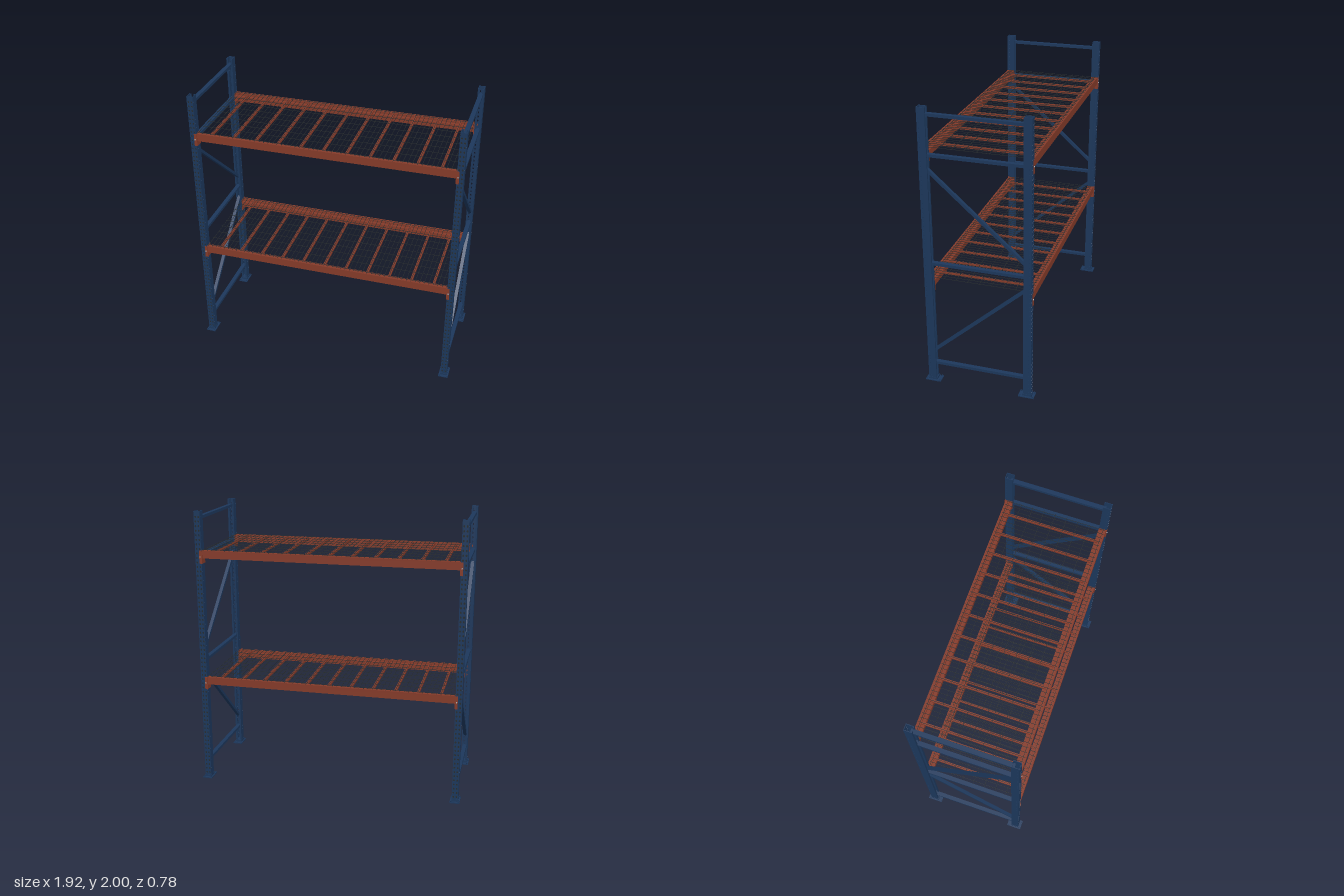
import * as THREE from 'three';
import { mergeGeometries } from 'three/addons/utils/BufferGeometryUtils.js';

const blue = new THREE.MeshStandardMaterial({ color: 0x1c375b });
blue.name = 'navy paint';
const rust = new THREE.MeshStandardMaterial({ color: 0x843a29 });
rust.name = 'rust orange paint';
const dark = new THREE.MeshStandardMaterial({ color: 0x262b2d });
dark.name = 'dark wire';
const steel = new THREE.MeshStandardMaterial({ color: 0xa8adb2 });
steel.name = 'bolt steel';

const POST_X = 0.925, POST_Z = 0.343, POST_W = 0.045, POST_D = 0.055, HEIGHT = 2;
const SHELF_TOPS = [0.794, 1.725];
const WALL = 0.004;

const box = (w, h, d, x = 0, y = 0, z = 0) => new THREE.BoxGeometry(w, h, d).translate(x, y, z);

function add(parent, name, geometry, material) {
  const mesh = new THREE.Mesh(geometry, material);
  mesh.name = name;
  parent.add(mesh);
  return mesh;
}

// Upright sheet with columns of six-sided holes, standing on y = 0
function perforatedSheet(width, columns, radius) {
  const shape = new THREE.Shape([
    new THREE.Vector2(-width / 2, 0.005), new THREE.Vector2(width / 2, 0.005),
    new THREE.Vector2(width / 2, HEIGHT), new THREE.Vector2(-width / 2, HEIGHT),
  ]);
  for (let y = 0.04; y < HEIGHT - 0.02; y += 0.032) {
    for (const cx of columns) {
      const points = [];
      for (let i = 0; i < 6; i++) {
        const a = -i * Math.PI / 3 + Math.PI / 6;
        points.push(new THREE.Vector2(cx + radius * Math.cos(a), y + radius * 1.4 * Math.sin(a)));
      }
      shape.holes.push(new THREE.Path(points));
    }
  }
  return new THREE.ExtrudeGeometry(shape, { depth: WALL, bevelEnabled: false })
    .translate(0, 0, -WALL / 2);
}

// Lipped channel post: perforated face outward (+z), open toward the rack's middle
function makePostParts() {
  const face = perforatedSheet(POST_W, [-0.011, 0.011], 0.0065)
    .translate(0, 0, POST_D / 2 - WALL / 2);
  const flange = perforatedSheet(POST_D - WALL, [0.016], 0.003).rotateY(-Math.PI / 2);
  const parts = [face];
  for (const s of [-1, 1]) {
    parts.push(flange.clone().translate(s * (POST_W - WALL) / 2, 0, -WALL / 2));
    parts.push(box(0.01, HEIGHT - 0.005, WALL,
      s * (POST_W / 2 - 0.009), HEIGHT / 2 + 0.0025, -POST_D / 2 + WALL / 2).toNonIndexed());
  }
  return mergeGeometries(parts);
}

// Base plate with a raised boot and four anchor bolts
function addFoot(post) {
  const foot = new THREE.Group();
  foot.name = 'foot';
  foot.position.z = -0.006;
  add(foot, 'basePlate', box(0.07, 0.007, 0.11, 0, 0.0035, 0), blue);
  add(foot, 'boot', box(0.05, 0.018, 0.064, 0, 0.013, 0.005), blue);
  const bolts = [];
  for (const x of [-0.026, 0.026]) {
    for (const z of [-0.045, 0.046]) {
      bolts.push(new THREE.CylinderGeometry(0.005, 0.005, 0.008, 6).translate(x, 0.01, z));
    }
  }
  add(foot, 'anchorBolts', mergeGeometries(bolts), blue);
  post.add(foot);
}

// Brace between two (z, y) points in an end frame
function addBrace(frame, name, z0, y0, z1, y1, width) {
  const brace = add(frame, name, box(width, 0.02, Math.hypot(z1 - z0, y1 - y0)), blue);
  brace.position.set(0, (y0 + y1) / 2, (z0 + z1) / 2);
  brace.rotation.x = -Math.atan2(y1 - y0, z1 - z0);
}

function makeEndFrame(postGeometry) {
  const frame = new THREE.Group();
  for (const s of [1, -1]) {
    const post = new THREE.Group();
    post.name = s > 0 ? 'frontPost' : 'backPost';
    post.position.z = s * POST_Z;
    if (s < 0) post.rotation.y = Math.PI;
    add(post, 'channel', postGeometry, blue);
    // Dark backing seen through the slots of the face
    const backing = add(post, 'slotBacking', new THREE.PlaneGeometry(POST_W - 2 * WALL, HEIGHT - 0.02), dark);
    backing.position.set(0, HEIGHT / 2, POST_D / 2 - WALL - 0.0005);
    addFoot(post);
    frame.add(post);
  }
  for (const y of [0.144, 0.92, 1.685, 1.952]) addBrace(frame, 'crossBrace', -0.335, y, 0.335, y, 0.03);
  addBrace(frame, 'lowerDiagonal', 0.33, 0.238, -0.33, 0.824, 0.024);
  addBrace(frame, 'upperDiagonal', -0.33, 1.006, 0.33, 1.592, 0.024);
  return frame;
}

// Stepped beam along x; its inner ledge carries the support bars
function makeBeamGeometry(s) {
  const profile = new THREE.Shape();
  [[0.314, -0.055], [0.366, -0.055], [0.366, 0], [0.338, 0], [0.338, -0.016], [0.314, -0.016]]
    .forEach(([z, y], i) => (i ? profile.lineTo(-z, y) : profile.moveTo(-z, y)));
  const g = new THREE.ExtrudeGeometry(profile, { depth: 1.8, bevelEnabled: false })
    .translate(0, 0, -0.9).rotateY(Math.PI / 2);
  return s < 0 ? g.rotateY(Math.PI) : g;
}

// Angle bracket that hooks each beam end onto a post, with a locking bolt
function addHook(shelf, sx, sz) {
  const hook = new THREE.Group();
  hook.name = 'beamHook';
  add(hook, 'bracket', mergeGeometries([
    box(0.005, 0.092, 0.056, sx * 0.9, -0.046, sz * 0.343),
    box(0.021, 0.092, 0.002, sx * 0.908, -0.046, sz * 0.3715),
  ]), rust);
  add(hook, 'hookBolt', new THREE.CylinderGeometry(0.0045, 0.0045, 0.005, 8).rotateX(Math.PI / 2)
    .translate(sx * 0.911, -0.043, sz * 0.3745), steel);
  shelf.add(hook);
}

// Grid of thin rods lying on the beams
function makeWireDeck() {
  const wires = [];
  const t = 0.0024;
  for (let i = -28; i <= 28; i++) wires.push(box(t, t, 0.716, i * 0.032, 0.0012, 0));
  for (let i = -4; i <= 4; i++) {
    wires.push(box(1.81, t, t, 0, 0.003, i * (Math.abs(i) === 4 ? 0.0865 : 0.083)));
  }
  return mergeGeometries(wires);
}

function makeShelf(deckGeometry) {
  const shelf = new THREE.Group();
  for (const s of [1, -1]) {
    add(shelf, s > 0 ? 'frontBeam' : 'backBeam', makeBeamGeometry(s), rust);
    for (const sx of [1, -1]) addHook(shelf, sx, s);
  }
  const bars = [];
  for (let i = -5; i <= 5; i++) bars.push(box(0.016, 0.016, 0.674, i * 0.16, -0.008, 0));
  add(shelf, 'supportBars', mergeGeometries(bars), rust);
  add(shelf, 'wireDeck', deckGeometry, dark);
  return shelf;
}

export function createModel() {
  const rack = new THREE.Group();
  rack.name = 'storageRack';

  const postGeometry = makePostParts();
  for (const s of [1, -1]) {
    const frame = makeEndFrame(postGeometry);
    frame.name = s > 0 ? 'leftEndFrame' : 'rightEndFrame';
    frame.position.x = s * POST_X;
    rack.add(frame);
  }

  const deckGeometry = makeWireDeck();
  SHELF_TOPS.forEach((y, i) => {
    const shelf = makeShelf(deckGeometry);
    shelf.name = i ? 'upperShelf' : 'lowerShelf';
    shelf.position.y = y;
    rack.add(shelf);
  });
  return rack;
}
